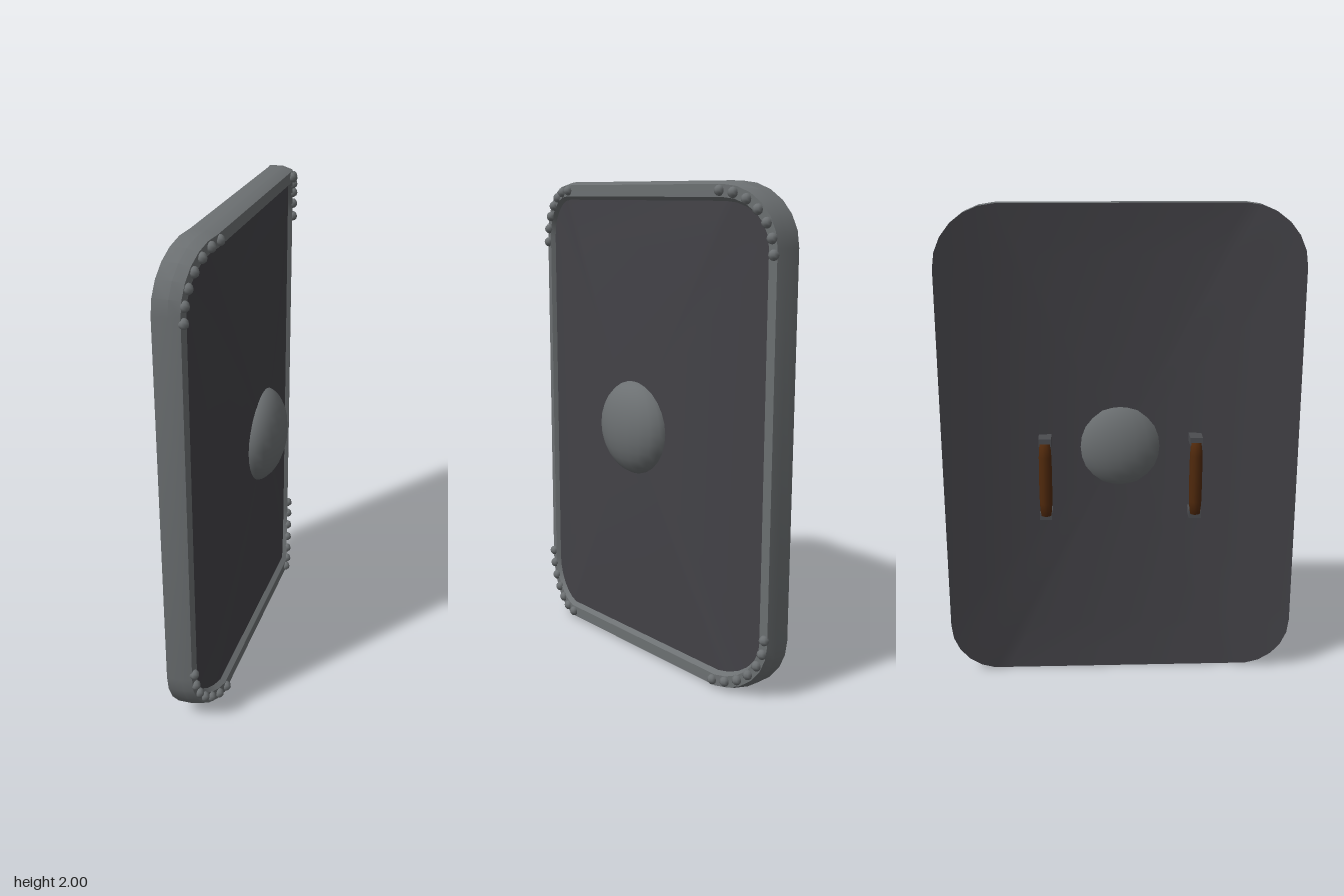
import * as THREE from 'three';
import { toCreasedNormals } from 'three/addons/utils/BufferGeometryUtils.js';

const HALF_W = 0.725, HALF_H = 1, CORNER = 0.24, SEGS = 6;

// The two sides of the shield sweep backwards beyond the flat middle
const sweep = z => -0.06 * Math.max(0, Math.abs(z) - (HALF_W - CORNER)) / CORNER;

// Rounded rectangle facing +x at depth x, inset from the sides and from top and bottom
function outline(insetZ, insetY, x) {
  const pts = [];
  for (let q = 0; q < 4; q++) {
    const sy = q < 2 ? 1 : -1, sz = q === 0 || q === 3 ? -1 : 1;
    for (let i = 0; i <= SEGS; i++) {
      const a = (q + i / SEGS) * Math.PI / 2;
      const z = sz * (HALF_W - CORNER) - (CORNER - insetZ) * Math.cos(a);
      const y = sy * (HALF_H - CORNER) + (CORNER - insetY) * Math.sin(a);
      pts.push(new THREE.Vector3(x + sweep(z), 1 + y, z));
    }
  }
  return pts;
}

// Shrinks an outline toward a domed centre at depth cx
const domeRing = (edge, t, cx) => edge.map(p =>
  new THREE.Vector3(cx + (p.x - cx) * t * t, 1 + (p.y - 1) * t, p.z * t));

// Joins successive rings with quads
function loft(rings, crease) {
  const pos = [];
  for (let k = 0; k + 1 < rings.length; k++) {
    const A = rings[k], B = rings[k + 1];
    A.forEach((a, i) => {
      const j = (i + 1) % A.length;
      for (const p of [a, A[j], B[j], a, B[j], B[i]]) pos.push(p.x, p.y, p.z);
    });
  }
  const g = new THREE.BufferGeometry();
  g.setAttribute('position', new THREE.Float32BufferAttribute(pos, 3));
  return toCreasedNormals(g, crease);
}

export function createModel() {
  const model = new THREE.Group();
  model.name = 'shield';
  const mat = (name, color) => {
    const m = new THREE.MeshStandardMaterial({ color });
    m.name = name;
    return m;
  };
  const steel = mat('steel', 0x6c7072);
  const darkPanel = mat('dark panel', 0x434247);
  const iron = mat('dark iron', 0x4b4c50);
  const leather = mat('brown leather', 0x50290c);
  const add = (name, geo, material, parent = model) => {
    const m = new THREE.Mesh(geo, material);
    m.name = name;
    parent.add(m);
    return m;
  };

  // Rim: outer wall, chamfer, front band, inner bevel
  const rimProfile = [[0, 0, -0.08], [0, 0, -0.02], [0.01, 0.013, 0.02], [0.044, 0.06, 0.02], [0.056, 0.074, 0]];
  add('rim', loft(rimProfile.map(p => outline(...p)), 0.35), steel);

  // Domed front panel and matching hollow back; the boss fills the centres
  const steps = [1, 0.8, 0.6, 0.4, 0.25, 0.1];
  const frontEdge = outline(0.056, 0.074, 0), backEdge = outline(0, 0, -0.08);
  add('frontPanel', loft(steps.map(t => domeRing(frontEdge, t, 0.045)), 0.6), darkPanel);
  add('backPanel', loft([...steps].reverse().map(t => domeRing(backEdge, t, -0.025)), 0.6), darkPanel);

  // Central boss, showing on both sides
  const boss = add('boss', new THREE.SphereGeometry(0.197, 20, 14), steel);
  boss.scale.x = 0.108 / 0.197;
  boss.position.set(0.027, 1, 0);

  // Studs around each corner of the rim
  const studs = new THREE.Group();
  studs.name = 'cornerStuds';
  model.add(studs);
  const studGeo = new THREE.SphereGeometry(0.021, 8, 6);
  for (const sy of [-1, 1]) for (const sz of [-1, 1]) {
    for (let i = 0; i < 7; i++) {
      const a = i / 6 * Math.PI / 2;
      const z = sz * (0.472 + 0.23 * Math.cos(a));
      add('stud', studGeo, steel, studs)
        .position.set(0.021 + sweep(z), 1 + sy * (0.737 + 0.227 * Math.sin(a)), z);
    }
  }

  // Two upright grips on the back, each held by a pair of block brackets
  const gripProfile = [[0, -0.155], [0.022, -0.155], [0.026, -0.1], [0.027, 0], [0.026, 0.1], [0.022, 0.155], [0, 0.155]]
    .map(([r, y]) => new THREE.Vector2(r, y));
  const gripGeo = new THREE.LatheGeometry(gripProfile, 10);
  const bracketGeo = new THREE.BoxGeometry(0.085, 0.032, 0.052);
  for (const z of [-0.31, 0.31]) {
    const handle = new THREE.Group();
    handle.name = z > 0 ? 'frontHandle' : 'rearHandle';
    handle.position.set(0, 0.885, z);
    model.add(handle);
    add('grip', gripGeo, leather, handle).position.x = -0.113;
    for (const s of [-1, 1]) add('bracket', bracketGeo, iron, handle).position.set(-0.075, s * 0.16, 0);
  }
  return model;
}
